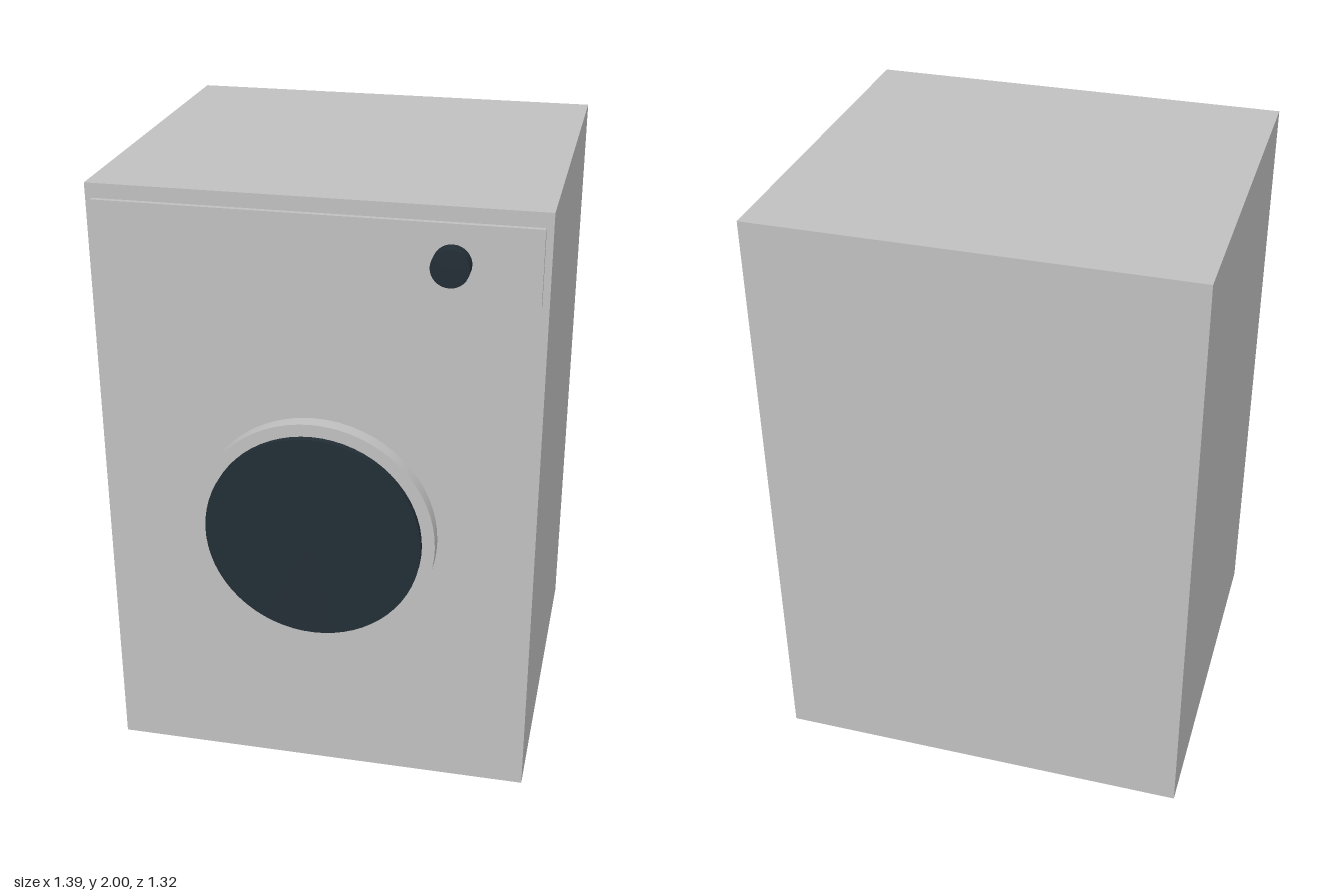
import * as THREE from 'three';

export function createModel() {
  const model = new THREE.Group();
  model.name = 'washingMachine';

  const casing = new THREE.MeshStandardMaterial({ color: 0xc0c0c0 });
  casing.name = 'casing grey';
  const dark = new THREE.MeshStandardMaterial({ color: 0x222d35 });
  dark.name = 'dark glass';

  // Adds a part spanning from zBack to zFront
  function add(name, geometry, material, x, y, zBack, zFront) {
    const mesh = new THREE.Mesh(geometry, material);
    mesh.name = name;
    mesh.position.set(x, y, (zBack + zFront) / 2);
    model.add(mesh);
  }
  function box(name, material, w, h, x, y, zBack, zFront) {
    add(name, new THREE.BoxGeometry(w, h, zFront - zBack), material, x, y, zBack, zFront);
  }
  function disc(name, material, r, sides, x, y, zBack, zFront) {
    const geometry = new THREE.CylinderGeometry(r, r, zFront - zBack, sides).rotateX(Math.PI / 2);
    add(name, geometry, material, x, y, zBack, zFront);
  }

  // Cabinet and control panel
  box('cabinet', casing, 1.395, 2, 0, 1, -0.66, 0.586);
  box('controlPanel', casing, 1.352, 0.234, 0, 1.837, 0.58, 0.602);

  // Round door with its window
  disc('doorRing', casing, 0.39, 64, 0, 0.903, 0.58, 0.635);
  disc('doorWindow', dark, 0.349, 64, 0, 0.903, 0.63, 0.657);

  // Programme dial, standing just clear of the panel
  disc('dial', dark, 0.058, 32, 0.415, 1.838, 0.612, 0.66);

  return model;
}
